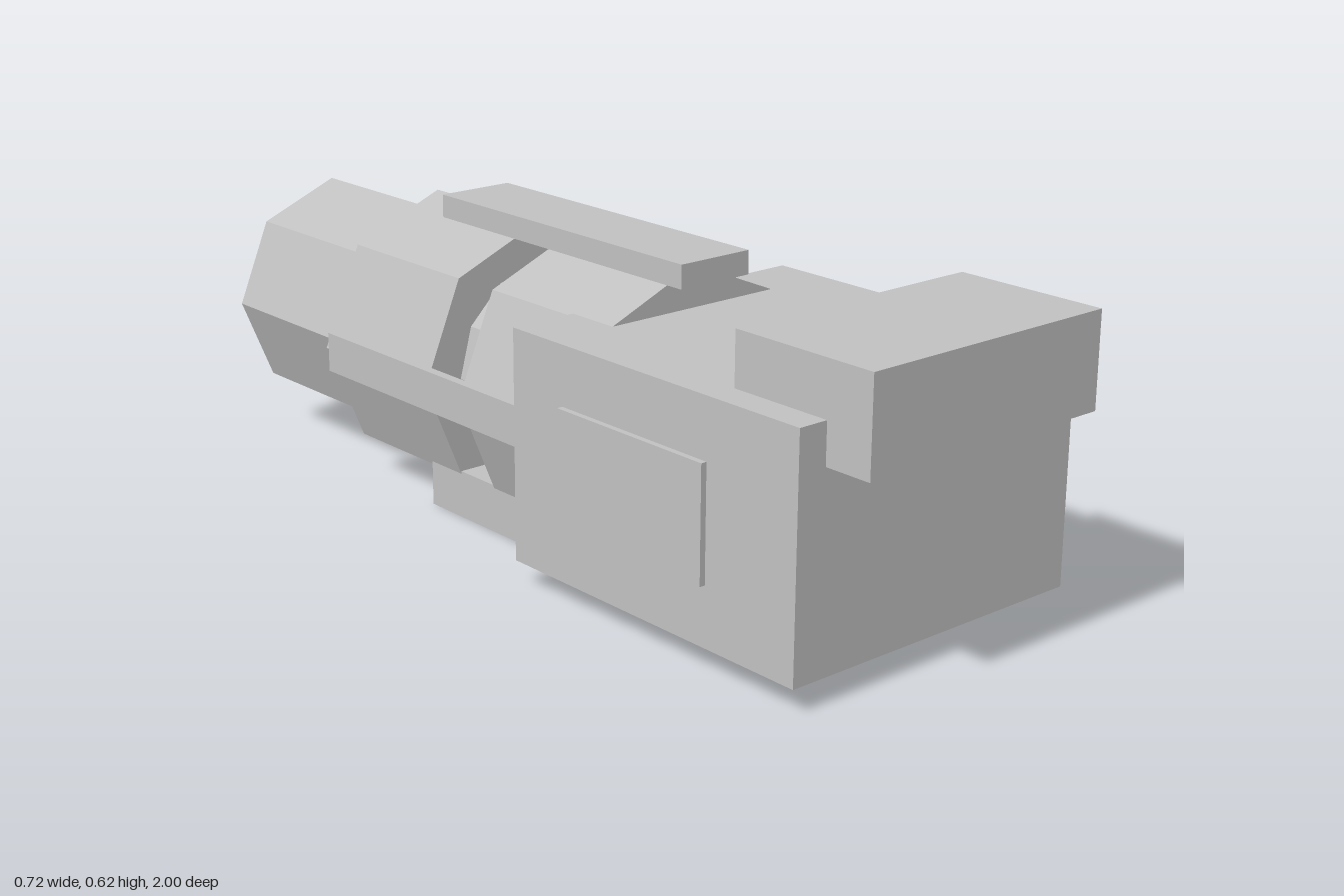
import * as THREE from 'three';

export function createModel() {
  const group = new THREE.Group();
  const grey = new THREE.MeshStandardMaterial({ color: 0xc0c0c0, flatShading: true });
  grey.name = 'plain grey';
  const axisY = 0.297; // height of the barrel axis

  const add = (name, geometry) => {
    const mesh = new THREE.Mesh(geometry, grey);
    mesh.name = name;
    group.add(mesh);
    return mesh;
  };

  // Box given by its limits on each axis
  const box = (name, [x0, x1], [y0, y1], [z0, z1]) =>
    add(name, new THREE.BoxGeometry(x1 - x0, y1 - y0, z1 - z0))
      .position.set((x0 + x1) / 2, (y0 + y1) / 2, (z0 + z1) / 2);

  // Prism along z with a corner pointing straight up
  const prism = (name, radius, sides, z0, z1) =>
    add(name, new THREE.CylinderGeometry(radius, radius, z1 - z0, sides).rotateX(Math.PI / 2))
      .position.set(0, axisY, (z0 + z1) / 2);

  // Main housing and raised front block
  box('housing', [-0.346, 0.346], [0.048, 0.51], [0.15, 0.9]);
  box('frontBlock', [-0.284, 0.284], [0.429, 0.616], [0.68, 1]);

  // Barrel: round core, two wide collars, rear collar and end cap
  prism('core', 0.21, 12, -0.62, 0.2);
  prism('frontCollar', 0.297, 8, -0.09, 0.265);
  prism('middleCollar', 0.297, 8, -0.555, -0.2);
  prism('rearCollar', 0.252, 8, -0.965, -0.595);
  prism('endCap', 0.187, 12, -1, -0.95);

  // Top rail and underside plate
  box('topRail', [-0.085, 0.085], [0.572, 0.62], [-0.42, 0.323]);
  box('bottomPlate', [-0.213, 0.213], [0, 0.1], [-0.3, 0.433]);

  // Mirrored side panels and side rails
  for (const [label, s] of [['left', 1], ['right', -1]]) {
    const span = (a, b) => (s > 0 ? [a, b] : [-b, -a]);
    box(label + 'Panel', span(0.33, 0.358), [0.166, 0.392], [0.293, 0.68]);
    box(label + 'Rail', span(0.29, 0.31), [0.256, 0.339], [-0.527, 0.16]);
  }

  return group;
}
